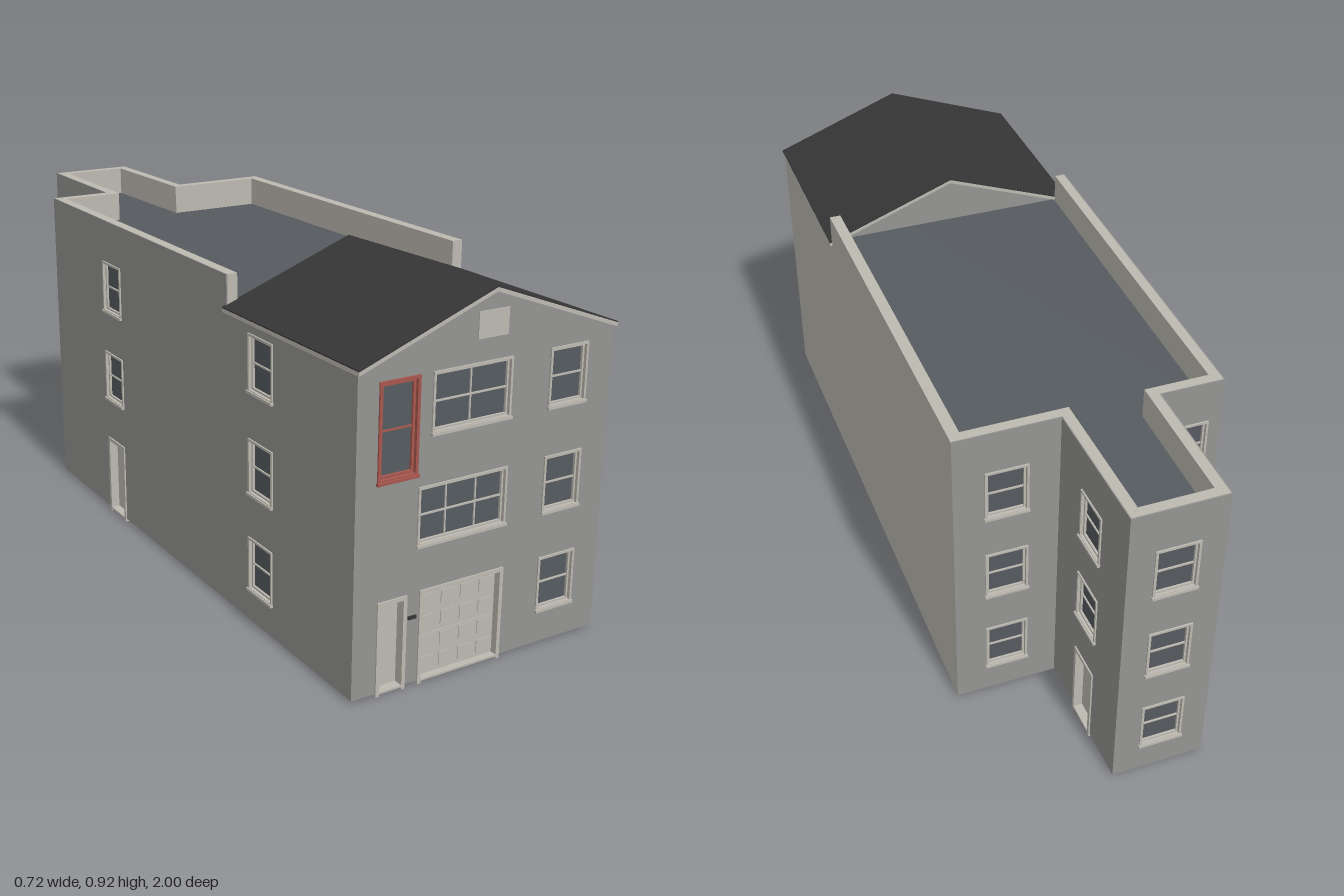
import * as THREE from 'three';

const mat = (name, color, side = THREE.FrontSide) => {
  const m = new THREE.MeshStandardMaterial({ color, side });
  m.name = name;
  return m;
};
const grey = mat('grey render', 0x949492);
const beige = mat('beige trim', 0xbdb9b1);
const slate = mat('slate glass and deck', 0x565b60);
const dark = mat('dark roofing', 0x363636);
const red = mat('red frame', 0xa8574e);

const BASE = 0.008, EAVE = 0.785, TOP = 0.866, THICK = 0.03;

// Footprint corners: x, z, and 1 for a convex corner or -1 for a re-entrant one
const corners = [
  [-0.357, 0.99, 1], [0.357, 0.99, 1], [0.35, -0.618, 1], [0.08, -0.618, -1],
  [0.072, -0.99, 1], [-0.17, -0.99, 1], [-0.172, -0.618, -1], [-0.34, -0.618, 1],
];

const shapeOf = (pts) => new THREE.Shape(pts.map(([x, y]) => new THREE.Vector2(x, y)));
const rect = (x0, y0, x1, y1) => [[x0, y0], [x1, y0], [x1, y1], [x0, y1]];
const extrude = (shape, depth) => new THREE.ExtrudeGeometry(shape, { depth, bevelEnabled: false });

function add(parent, name, geometry, material) {
  const mesh = new THREE.Mesh(geometry, material);
  mesh.name = name;
  parent.add(mesh);
  return mesh;
}

// Box given by its limits
function block(parent, name, material, x0, x1, y0, y1, z0, z1) {
  const g = new THREE.BoxGeometry(x1 - x0, y1 - y0, z1 - z0);
  return add(parent, name, g.translate((x0 + x1) / 2, (y0 + y1) / 2, (z0 + z1) / 2), material);
}

// Rectangular ring of border b
function ring(parent, name, material, x0, x1, y0, y1, b, z0, z1) {
  const s = shapeOf(rect(x0, y0, x1, y1));
  s.holes.push(shapeOf(rect(x0 + b, y0 + b, x1 - b, y1 - b)));
  add(parent, name, extrude(s, z1 - z0).translate(0, 0, z0), material);
}

// Window with casing, sash, glazing bars and sill
function buildWindow(parent, o) {
  const g = new THREE.Group();
  g.name = 'window';
  parent.add(g);
  const m = o.frame || beige;
  const x0 = o.u - o.w / 2, x1 = o.u + o.w / 2, { y0, y1, cols = 1, rows = 2 } = o;
  const b = o.border || 0.006, i = b * 2 - 0.001;
  ring(g, 'casing', m, x0, x1, y0, y1, b, -0.02, 0.004);
  ring(g, 'sash', m, x0 + b - 0.001, x1 - b + 0.001, y0 + b - 0.001, y1 - b + 0.001, b, -0.02, -0.004);
  block(g, 'glass', slate, x0 + b, x1 - b, y0 + b, y1 - b, -0.016, -0.01);
  block(g, 'sill', m, x0 - 0.002, x1 + 0.002, y0 - 0.003, y0 + 0.004, -0.004, 0.008);
  for (let c = 1; c < cols; c++) {
    const x = x0 + (o.w * c) / cols;
    block(g, 'glazingBar', m, x - 0.002, x + 0.002, y0 + i, y1 - i, -0.012, -0.007);
  }
  for (let r = 1; r < rows; r++) {
    const y = y0 + ((y1 - y0) * r) / rows;
    block(g, 'glazingBar', m, x0 + i, x1 - i, y - 0.002, y + 0.002, -0.012, -0.006);
  }
}

// Recessed door with jambs, head and threshold; the garage door is panelled
function buildDoor(parent, o) {
  const g = new THREE.Group();
  g.name = o.garage ? 'garageDoor' : 'door';
  parent.add(g);
  const x0 = o.u - o.w / 2, x1 = o.u + o.w / 2, y1 = o.y1, b = 0.01;
  block(g, 'jamb', beige, x0, x0 + b, 0, y1, -0.028, 0.004);
  block(g, 'jamb', beige, x1 - b, x1, 0, y1, -0.028, 0.004);
  block(g, 'head', beige, x0 + b, x1 - b, y1 - b, y1, -0.028, 0.004);
  block(g, 'threshold', beige, x0 + b, x1 - b, 0.006, 0.011, -0.028, 0.004);
  if (!o.garage) {
    block(g, 'leaf', beige, x0 + b, x1 - b, 0.011, y1 - b, -0.026, -0.02);
    return;
  }
  const mid = 0.113;
  block(g, 'lowerLeaf', beige, x0 + b, x1 - b, 0.011, mid - 0.0008, -0.024, -0.014);
  block(g, 'upperLeaf', beige, x0 + b, x1 - b, mid + 0.0008, y1 - b, -0.024, -0.014);
  block(g, 'leafBacking', beige, x0 + b, x1 - b, 0.011, y1 - b, -0.027, -0.0235);
  const pw = (o.w - 2 * b) / 4;
  for (let c = 0; c < 4; c++) for (let r = 0; r < 4; r++) {
    const px = x0 + b + c * pw, py = 0.011 + r * 0.053;
    block(g, 'raisedPanel', beige, px + 0.008, px + pw - 0.008, py + 0.01, py + 0.043, -0.015, -0.012);
  }
}

// One wall between two corners: painted skin plus beige lining, mitred at both ends
function buildWall(parent, index, name, { skin = grey, profile, openings = [] }) {
  const [ax, az, ka] = corners[index], [bx, bz, kb] = corners[(index + 1) % corners.length];
  const L = Math.hypot(bx - ax, bz - az);
  const g = new THREE.Group();
  g.name = name;
  g.position.set(ax, 0, az);
  g.rotation.y = Math.atan2(az - bz, bx - ax);
  parent.add(g);
  const layer = (part, material, near, far) => {
    const s = shapeOf(profile ? profile(L) : rect(0, BASE, L, TOP));
    for (const o of openings) {
      const h = o.w / 2 - 0.004;
      s.holes.push(shapeOf(rect(o.u - h, o.y0 === undefined ? BASE + 0.001 : o.y0 + 0.004, o.u + h, o.y1 - 0.004)));
    }
    const geo = extrude(s, far - near).translate(0, 0, -far);
    const p = geo.attributes.position;
    for (let i = 0; i < p.count; i++) {
      const x = p.getX(i), d = -p.getZ(i);
      if (x < 1e-4) p.setX(i, x + d * ka);
      else if (x > L - 1e-4) p.setX(i, x - d * kb);
    }
    geo.computeVertexNormals();
    add(g, part, geo, material);
  };
  layer('skin', skin, 0, 0.003);
  layer('lining', beige, 0.003, THICK);
  for (const o of openings) (o.y0 === undefined ? buildDoor : buildWindow)(g, o);
  return g;
}

export function createModel() {
  const model = new THREE.Group();
  model.name = 'townhouse';

  // Storey rows shared by all standard windows
  const rows = [[0.092, 0.232], [0.346, 0.488], [0.606, 0.75]];
  const stack = (u, from = 0, w = 0.112) => rows.slice(from).map(([y0, y1]) => ({ u, w, y0, y1 }));
  const doorStack = (u) => [{ u, w: 0.105, y1: 0.228 }, ...stack(u, 1)];
  const X = 0.357;

  // Front wall with gable
  const front = buildWall(model, 0, 'frontWall', {
    profile: (L) => [[0, BASE], [L, BASE], [L, 0.778], [L / 2, 0.908], [0, 0.778]],
    openings: [
      { u: X - 0.248, w: 0.107, y0: 0.518, y1: 0.75, frame: red, border: 0.0075 },
      { u: X - 0.05, w: 0.22, y0: 0.606, y1: 0.75, cols: 2 },
      { u: X - 0.065, w: 0.25, y0: 0.346, y1: 0.488, cols: 3 },
      ...stack(X + 0.226),
      { u: X - 0.2525, w: 0.081, y1: 0.234 },
      { u: X - 0.057, w: 0.24, y1: 0.236, garage: true },
    ],
  });
  block(front, 'gableVent', beige, X - 0.042, X + 0.042, 0.803, 0.866, -0.002, 0.002);
  block(front, 'letterPlate', dark, X - 0.207, X - 0.185, 0.171, 0.179, -0.002, 0.004);

  // Long side walls step up to a parapet behind the pitched roof
  buildWall(model, 1, 'leftWall', {
    skin: beige,
    profile: (L) => [[0, BASE], [L, BASE], [L, TOP], [0.56, TOP], [0.56, 0.778], [0, 0.778]],
  });
  buildWall(model, 7, 'rightWall', {
    profile: (L) => [[0, BASE], [L, BASE], [L, 0.778], [L - 0.56, 0.778], [L - 0.56, TOP], [0, TOP]],
    openings: [...stack(1.21), ...doorStack(0.396)],
  });

  // Rear walls and the narrow rear wing
  buildWall(model, 2, 'rearWallLeft', { openings: stack(0.135) });
  buildWall(model, 3, 'wingLeftWall', { openings: doorStack(0.182) });
  buildWall(model, 4, 'wingRearWall', { openings: stack(0.122) });
  buildWall(model, 5, 'wingRightWall', { openings: doorStack(0.19) });
  buildWall(model, 6, 'rearWallRight', { openings: stack(0.078) });

  // Flat deck inside the parapet, inset from the footprint
  const n = corners.length;
  const normal = (i) => {
    const [ax, az] = corners[i % n], [bx, bz] = corners[(i + 1) % n];
    const l = Math.hypot(bx - ax, bz - az);
    return [(az - bz) / l, (bx - ax) / l];
  };
  const inset = corners.map(([x, z], i) => {
    const [px, pz] = normal(i + n - 1), [qx, qz] = normal(i);
    return [x - 0.015 * (px + qx), z - 0.015 * (pz + qz)];
  });
  add(model, 'roofDeck', extrude(shapeOf(inset), 0.012).rotateX(Math.PI / 2).translate(0, EAVE, 0), slate);

  // Gable closing the back of the pitched roof
  const gable = shapeOf([[-0.34, 0.776], [0.34, 0.776], [0.34, 0.782], [0, 0.908], [-0.34, 0.782]]);
  add(model, 'rearGable', extrude(gable, 0.02).translate(0, 0, 0.437), grey);

  // Pitched roof: chevron sections for the dark covering and the beige bargeboards
  const chevron = (top, t) => shapeOf([
    [-0.361, top - 0.133 - t], [0, top - t], [0.361, top - 0.133 - t],
    [0.361, top - 0.133], [0, top], [-0.361, top - 0.133],
  ]);
  add(model, 'roofCovering', extrude(chevron(0.92, 0.003), 0.574).translate(0, 0, 0.426), dark);
  add(model, 'bargeboards', extrude(chevron(0.917, 0.01), 0.573).translate(0, 0, 0.4265), beige);

  return model;
}
